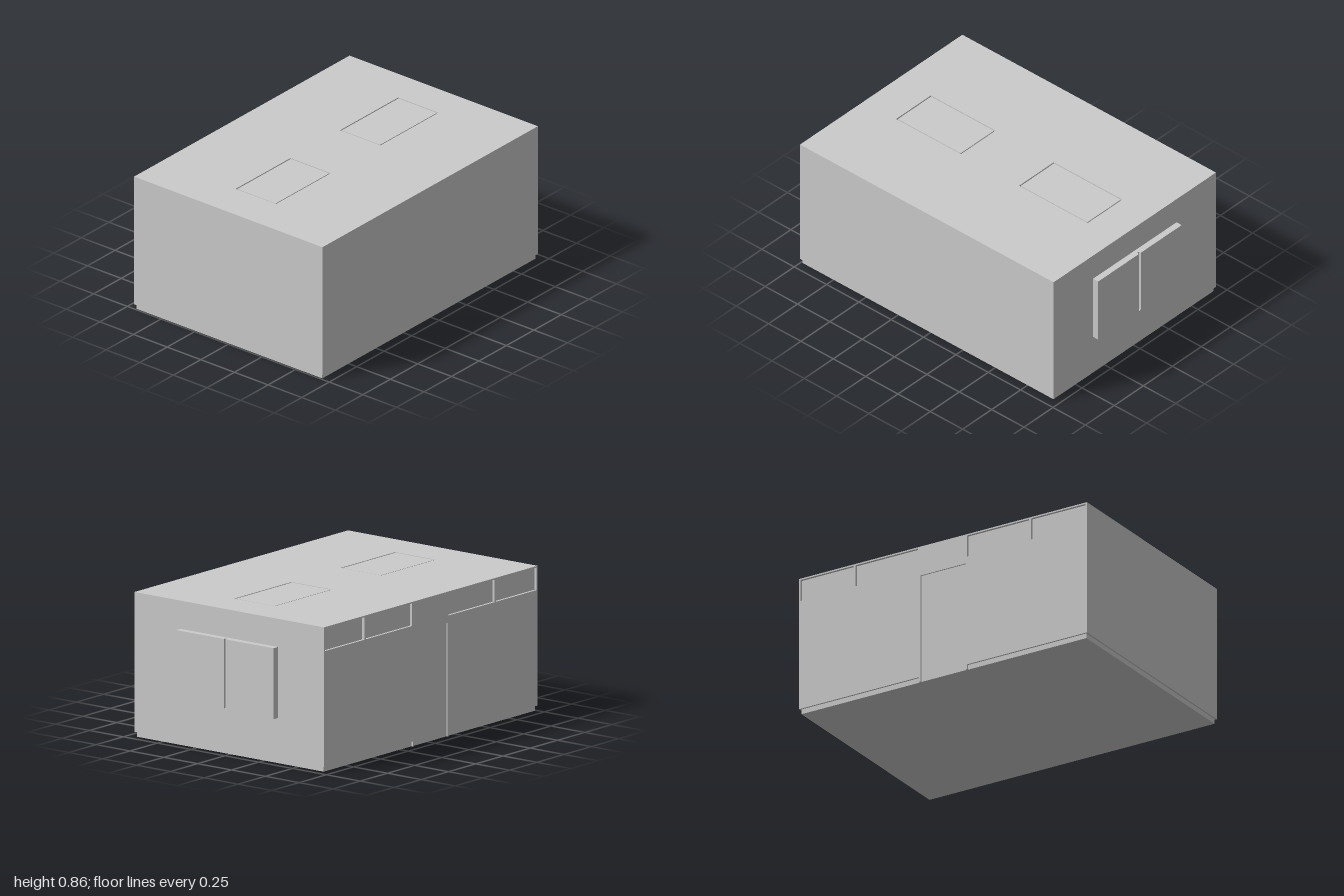
import * as THREE from 'three';

const material = new THREE.MeshStandardMaterial({ color: 0xcccccc });
const HALF = 0.7, BACK = -0.96, FRONT = 1, FLOOR = 0.03, TOP = 0.857;
const SKIN = 0.015; // thickness of the outer facade and roof sheets

function path(Type, points) {
  return new Type(points.map(([a, b]) => new THREE.Vector2(a, b)));
}

function rect(Type, a0, b0, a1, b1) {
  return path(Type, [[a0, b0], [a1, b0], [a1, b1], [a0, b1]]);
}

export function createModel() {
  const group = new THREE.Group();
  group.name = 'modularBuilding';

  function add(name, geometry) {
    const mesh = new THREE.Mesh(geometry, material);
    mesh.name = name;
    group.add(mesh);
  }
  // box from its low and high corners
  function box(name, x0, y0, z0, x1, y1, z1) {
    const g = new THREE.BoxGeometry(x1 - x0, y1 - y0, z1 - z0);
    add(name, g.translate((x0 + x1) / 2, (y0 + y1) / 2, (z0 + z1) / 2));
  }
  function sheet(shape) {
    return new THREE.ExtrudeGeometry(shape, { depth: SKIN, bevelEnabled: false });
  }

  // Inset base and solid core
  box('base', -0.69, 0, BACK + 0.01, 0.69, FLOOR, FRONT - 0.01);
  box('body', -HALF + SKIN, FLOOR, BACK, HALF, TOP - SKIN, FRONT);

  // Roof sheet with two flush skylights set in narrow grooves
  const roof = rect(THREE.Shape, -HALF + SKIN, BACK, HALF, FRONT);
  for (const [z0, z1] of [[-0.73, -0.2], [0.25, 0.75]]) {
    roof.holes.push(rect(THREE.Path, -0.15, z0, 0.15, z1));
    const gap = 0.007;
    box('skylight', -0.15 + gap, TOP - SKIN, z0 + gap, 0.15 - gap, TOP - 0.001, z1 - gap);
  }
  add('roof', sheet(roof).rotateX(Math.PI / 2).translate(0, TOP, 0));

  // Entrance facade: door notch and a band of recessed high windows
  const d0 = -0.145, d1 = 0.185, doorTop = 0.685;
  const facade = path(THREE.Shape, [
    [BACK, FLOOR], [d0, FLOOR], [d0, doorTop], [d1, doorTop], [d1, FLOOR],
    [FRONT, FLOOR], [FRONT, TOP], [BACK, TOP],
  ]);
  for (const [z0, z1] of [[-0.95, -0.59], [-0.575, -0.15], [0.185, 0.605], [0.62, 0.99]]) {
    facade.holes.push(rect(THREE.Path, z0, 0.715, z1, 0.848));
  }
  add('entranceFacade', sheet(facade).rotateY(-Math.PI / 2).translate(-HALF + SKIN, 0, 0));

  // Door leaf and its frame
  const jamb = 0.012;
  box('door', -HALF + 0.008, 0, d0 + jamb, -HALF + SKIN, doorTop - jamb, d1 - jamb);
  for (const z of [d0, d1 - jamb]) {
    box('doorJamb', -HALF, 0, z, -HALF + SKIN, doorTop, z + jamb);
  }
  box('doorHead', -HALF, doorTop - jamb, d0 + jamb, -HALF + SKIN, doorTop, d1 - jamb);

  // Projecting two-pane rear window
  for (const side of [-1, 1]) {
    const inner = side * 0.008, outer = side * 0.36;
    box('rearWindowPane', Math.min(inner, outer), 0.278, -1, Math.max(inner, outer), 0.69, BACK);
  }
  box('rearWindowMullion', -0.008, 0.278, -0.985, 0.008, 0.69, BACK);
  box('rearWindowSill', -0.36, 0.27, -1, 0.36, 0.278, BACK);

  return group;
}
